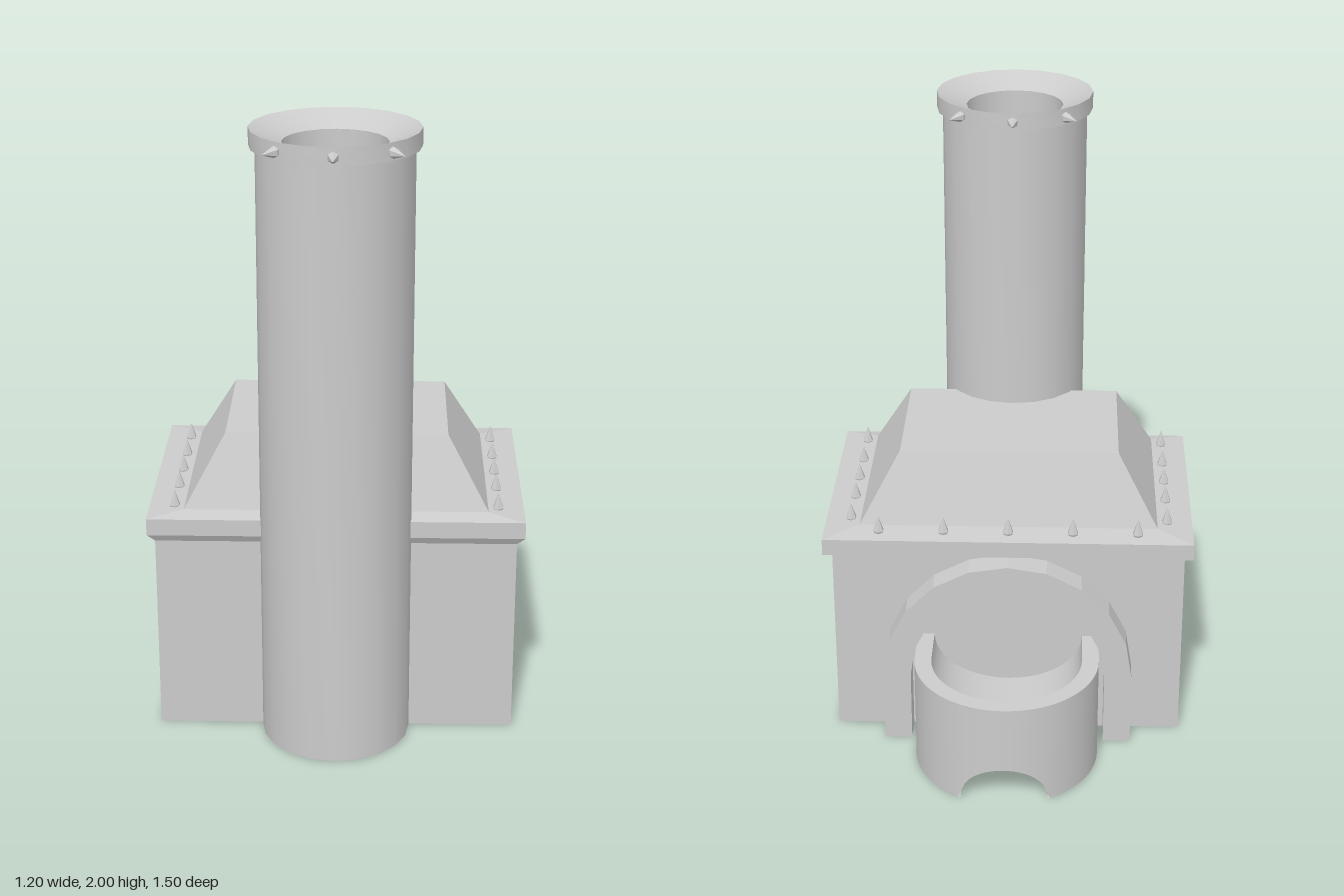
import * as THREE from 'three';
import { toCreasedNormals } from 'three/addons/utils/BufferGeometryUtils.js';

const grey = new THREE.MeshStandardMaterial({ color: 0xcccccc });
const thin = new THREE.MeshStandardMaterial({ color: 0xcccccc, side: THREE.DoubleSide });

function part(name, geometry, material = grey) {
  const mesh = new THREE.Mesh(geometry, material);
  mesh.name = name;
  return mesh;
}

// Stack of rectangles [y, halfWidth, zBack, zFront] joined by flat faces
function loftBox(sections) {
  const rings = sections.map(([y, x, z0, z1]) => [[-x, y, z1], [x, y, z1], [x, y, z0], [-x, y, z0]]);
  const pos = [];
  const quad = (a, b, c, d) => [a, b, c, a, c, d].forEach((p) => pos.push(...p));
  for (let i = 0; i < rings.length - 1; i++) {
    for (let j = 0; j < 4; j++) {
      const k = (j + 1) % 4;
      quad(rings[i][j], rings[i][k], rings[i + 1][k], rings[i + 1][j]);
    }
  }
  const [b, t] = [rings[0], rings[rings.length - 1]];
  quad(b[3], b[2], b[1], b[0]);
  quad(t[0], t[1], t[2], t[3]);
  const g = new THREE.BufferGeometry();
  g.setAttribute('position', new THREE.Float32BufferAttribute(pos, 3));
  g.computeVertexNormals();
  return g;
}

// Grid of points placed by a rule of (u, v)
function surface(rule, nu, nv) {
  const g = new THREE.PlaneGeometry(1, 1, nu, nv);
  const { position, uv } = g.attributes;
  for (let i = 0; i < position.count; i++) position.setXYZ(i, ...rule(uv.getX(i), uv.getY(i)));
  g.computeVertexNormals();
  return g;
}

function lathe(points, segments) {
  return new THREE.LatheGeometry(points.map(([x, y]) => new THREE.Vector2(x, y)), segments);
}

// Arch outline with straight legs
function archPoints(halfWidth, springY, rise, steps) {
  const pts = [new THREE.Vector2(halfWidth, 0)];
  for (let i = 0; i <= steps; i++) {
    const a = (Math.PI * i) / steps;
    pts.push(new THREE.Vector2(halfWidth * Math.cos(a), springY + rise * Math.sin(a)));
  }
  pts.push(new THREE.Vector2(-halfWidth, 0));
  return pts;
}

const WALL_Z = -0.3, BASIN_Z = -0.45, BASIN_R = 0.3, BOWL_R = 0.245, BASIN_Y = 0.355;
const TUNNEL_W = 0.14, TUNNEL_H = 0.13;

// U-shaped plan of the basin: two straight sides and a half circle
function basinPlan(u, r) {
  if (u < 0.1) return [r, THREE.MathUtils.lerp(WALL_Z, BASIN_Z, u / 0.1)];
  if (u > 0.9) return [-r, THREE.MathUtils.lerp(BASIN_Z, WALL_Z, (u - 0.9) / 0.1)];
  const a = (Math.PI * (u - 0.1)) / 0.8;
  return [r * Math.cos(a), BASIN_Z - r * Math.sin(a)];
}
const basinEdge = (x) => BASIN_Z - Math.sqrt(Math.max(0, BASIN_R ** 2 - x * x));

function createBasin() {
  const basin = new THREE.Group();
  basin.name = 'basin';
  const add = (name, rule, nu, nv) => basin.add(part(name, surface(rule, nu, nv), thin));
  add('basinWall', (u, v) => {
    const [x, z] = basinPlan(u, BASIN_R);
    const low = z < BASIN_Z && Math.abs(x) < TUNNEL_W
      ? TUNNEL_H * Math.sqrt(1 - (x / TUNNEL_W) ** 2) : 0;
    return [x, THREE.MathUtils.lerp(low, BASIN_Y, v), z];
  }, 100, 4);
  add('basinRim', (u, v) => {
    const [x, z] = basinPlan(u, THREE.MathUtils.lerp(BOWL_R, BASIN_R, v));
    return [x, BASIN_Y, z];
  }, 60, 1);
  add('basinBowl', (u, v) => {
    const a = (v * Math.PI) / 2;
    const [x, z] = basinPlan(u, BOWL_R * Math.sin(a) + 1e-4);
    return [x, BASIN_Y - 0.17 * Math.cos(a), z];
  }, 60, 10);
  add('drainTunnel', (u, v) => {
    const x = TUNNEL_W * Math.cos(Math.PI * u);
    return [x, TUNNEL_H * Math.sin(Math.PI * u), THREE.MathUtils.lerp(WALL_Z, basinEdge(x), v)];
  }, 24, 2);
  for (const s of [-1, 1]) {
    add('basinUnderside', (u, v) => {
      const x = THREE.MathUtils.lerp(TUNNEL_W, BASIN_R, u);
      return [s * x, 0, THREE.MathUtils.lerp(WALL_Z, basinEdge(x), v)];
    }, 16, 1);
  }
  return basin;
}

export function createModel() {
  const model = new THREE.Group();
  model.name = 'furnace';

  // Body, overhanging slab and hipped roof
  model.add(part('body', loftBox([
    [0, 0.575, -0.3, 0.43], [0.655, 0.575, -0.3, 0.43],
    [0.68, 0.6, -0.355, 0.445], [0.735, 0.6, -0.355, 0.445],
    [0.747, 0.485, -0.27, 0.39], [0.975, 0.355, -0.18, 0.3],
  ])));

  // Chimney with a flared collar and a hollow flue
  const chimney = new THREE.Group();
  chimney.name = 'chimney';
  chimney.position.z = 0.43;
  chimney.add(part('chimneyStack', toCreasedNormals(lathe([
    [0, 0], [0.239, 0], [0.239, 1.945], [0.258, 1.945], [0.258, 2],
    [0.16, 1.955], [0.16, 1.2], [0, 1.2],
  ], 20), 0.4)));
  model.add(chimney);

  // Spikes around the collar and along the slab
  const spikeGeometry = toCreasedNormals(lathe([[0.013, 0], [0.018, 0.015], [0, 0.067]], 6), 0.2);
  for (const degrees of [0, 40, 140, 180, 220, 320]) {
    const arm = new THREE.Group();
    arm.name = 'collarSpike';
    arm.rotation.y = THREE.MathUtils.degToRad(degrees);
    const spike = part('spike', spikeGeometry);
    spike.position.set(0, 1.972, 0.25);
    spike.rotation.x = Math.PI / 2;
    arm.add(spike);
    chimney.add(arm);
  }
  const slabSpots = [-0.42, -0.21, 0, 0.21, 0.42].map((x) => [x, -0.305]);
  for (const z of [-0.22, -0.07, 0.065, 0.2, 0.353]) slabSpots.push([-0.517, z], [0.517, z]);
  for (const [x, z] of slabSpots) {
    const spike = part('slabSpike', spikeGeometry);
    spike.position.set(x, 0.732, z);
    model.add(spike);
  }

  // Raised arch around the rear opening
  const ring = new THREE.Shape([
    ...archPoints(0.41, 0.25, 0.41, 10),
    ...archPoints(0.32, 0.25, 0.32, 10).reverse(),
  ]);
  const arch = part('rearArch', new THREE.ExtrudeGeometry(ring, { depth: 0.09, bevelEnabled: false }));
  arch.position.z = -0.387;
  model.add(arch);

  model.add(createBasin());
  return model;
}
